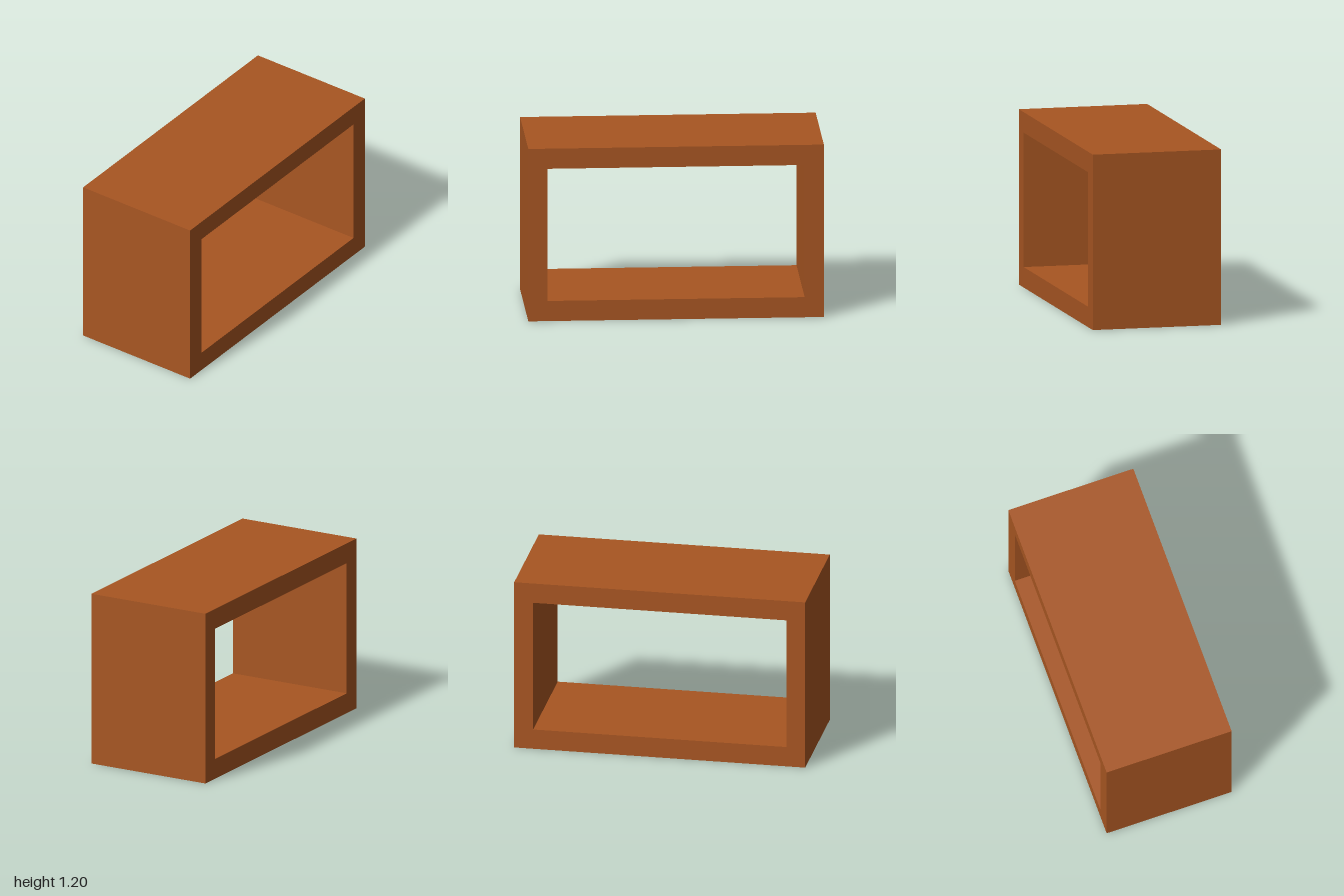
import * as THREE from 'three';

const WIDTH = 2, HEIGHT = 1.2, DEPTH = 0.895;
const SIDE = 0.13, RAIL = 0.14; // wall thicknesses

// Closed rectangle outline
function rectangle(Type, x0, y0, x1, y1) {
  const path = new Type();
  path.moveTo(x0, y0);
  path.lineTo(x1, y0);
  path.lineTo(x1, y1);
  path.lineTo(x0, y1);
  path.closePath();
  return path;
}

export function createModel() {
  const group = new THREE.Group();
  group.name = 'openBoxShelf';

  // Box frame, open from front to back
  const outline = rectangle(THREE.Shape, -WIDTH / 2, 0, WIDTH / 2, HEIGHT);
  outline.holes.push(
    rectangle(THREE.Path, -WIDTH / 2 + SIDE, RAIL, WIDTH / 2 - SIDE, HEIGHT - RAIL)
  );
  const geometry = new THREE.ExtrudeGeometry(outline, { depth: DEPTH, bevelEnabled: false });
  geometry.translate(0, 0, -DEPTH / 2);

  const frame = new THREE.Mesh(geometry, new THREE.MeshStandardMaterial({ color: 0xa85622 }));
  frame.name = 'frame';
  group.add(frame);
  return group;
}
